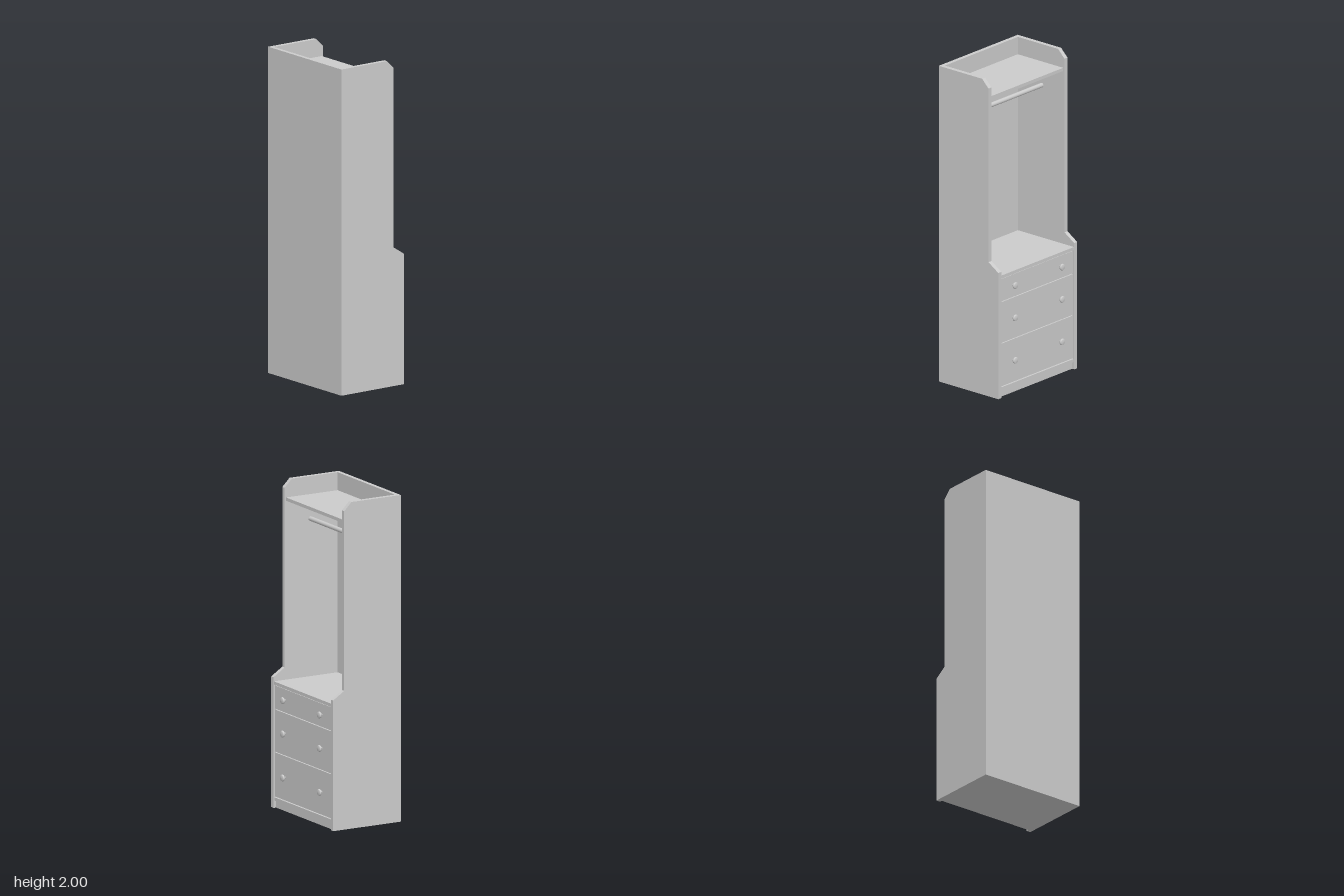
import * as THREE from 'three';

export function createModel() {
  const group = new THREE.Group();
  const material = new THREE.MeshStandardMaterial({ color: 0xcccccc });

  const add = (name, geometry, x = 0, y = 0, z = 0) => {
    const mesh = new THREE.Mesh(geometry, material);
    mesh.name = name;
    mesh.position.set(x, y, z);
    group.add(mesh);
    return mesh;
  };
  // Box given by its width and its y and z limits, centred on x = 0
  const board = (name, width, y0, y1, z0, z1) =>
    add(name, new THREE.BoxGeometry(width, y1 - y0, z1 - z0), 0, (y0 + y1) / 2, (z0 + z1) / 2);

  const halfWidth = 0.357, thick = 0.027, inner = 2 * (halfWidth - thick);

  // Side panels: stepped profile (z, y), extruded across x
  const profile = [
    [0.218, 0], [0.218, 2], [-0.1, 2], [-0.15, 1.95],
    [-0.15, 0.85], [-0.227, 0.8], [-0.227, 0],
  ].map(([z, y]) => new THREE.Vector2(-z, y));
  const sideGeometry = new THREE.ExtrudeGeometry(new THREE.Shape(profile), { depth: thick, bevelEnabled: false });
  sideGeometry.rotateY(Math.PI / 2);
  add('leftSidePanel', sideGeometry, halfWidth - thick);
  add('rightSidePanel', sideGeometry, -halfWidth);

  // Full-width panel closing the +z side
  board('closingPanel', 2 * halfWidth, 0, 2, 0.218, 0.243);

  // Horizontal boards
  board('upperShelf', inner, 1.87, 1.89, -0.14, 0.218);
  board('chestTop', inner, 0.755, 0.775, -0.225, 0.218);
  board('chestFloor', inner, 0.045, 0.065, -0.222, 0.218);
  board('basePlinth', inner, 0, 0.045, -0.21, 0.218);

  // Hanging rail
  const rail = new THREE.CylinderGeometry(0.014, 0.014, inner, 20);
  rail.rotateZ(Math.PI / 2);
  add('hangingRail', rail, 0, 1.74, 0.03);

  // Knob profile: short stem and a rounded disc, pointing to -z
  const knob = new THREE.LatheGeometry([
    [0.008, 0], [0.008, 0.011], [0.016, 0.011], [0.0195, 0.0145],
    [0.0205, 0.019], [0.0195, 0.0235], [0.016, 0.027], [0, 0.028],
  ].map(([r, h]) => new THREE.Vector2(r, h)), 24);
  knob.rotateX(-Math.PI / 2);

  // Drawers with a rail behind each gap and two knobs each
  [[0.07, 0.34], [0.345, 0.603], [0.608, 0.75]].forEach(([y0, y1], i) => {
    board(`drawerFront${i + 1}`, inner - 0.006, y0, y1, -0.219, -0.197);
    board(`drawerRail${i + 1}`, inner, y1 - 0.012, y1 + 0.012, -0.197, -0.17);
    for (const x of [-0.212, 0.212]) add('drawerKnob', knob, x, (y0 + y1) / 2 + 0.004, -0.217);
  });

  return group;
}
